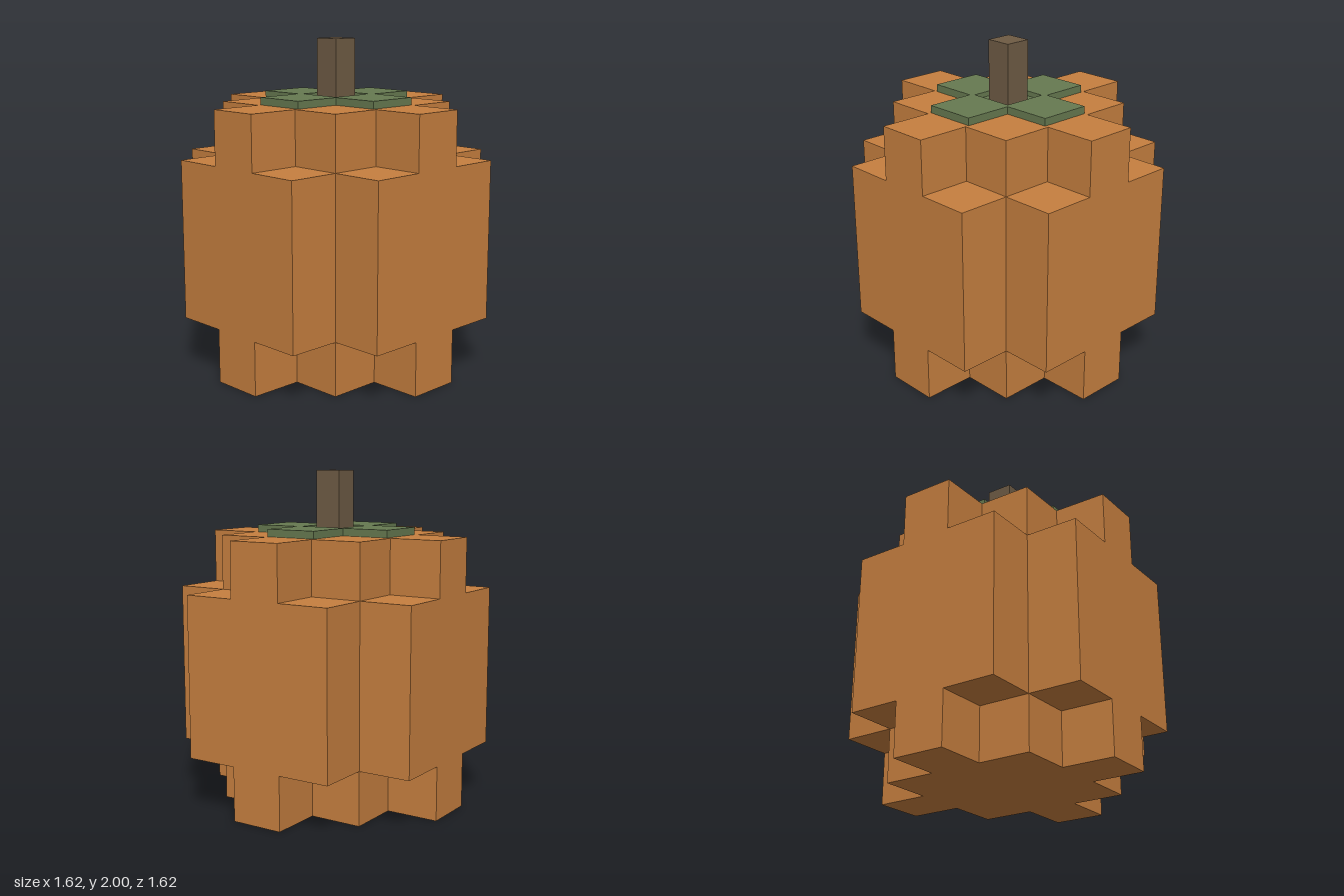
import * as THREE from 'three';

const material = (name, color) => {
  const m = new THREE.MeshStandardMaterial({ color });
  m.name = name;
  return m;
};

// Cross outline: arms reach r with half width w, around a square of half size s
function crossShape(r, w, s) {
  const quarter = s > w ? [[r, w], [s, w], [s, s], [w, s], [w, r]] : [[r, w], [w, w], [w, r]];
  const points = [];
  for (let q = 0; q < 4; q++) {
    for (let [x, y] of quarter) {
      for (let k = 0; k < q; k++) [x, y] = [-y, x];
      points.push(new THREE.Vector2(x, y));
    }
  }
  return new THREE.Shape(points);
}

// Upright prism of a plan outline between two heights
function prism(name, shape, y0, y1, mat) {
  const geo = new THREE.ExtrudeGeometry(shape, { depth: y1 - y0, bevelEnabled: false });
  geo.rotateX(-Math.PI / 2);
  geo.translate(0, y0, 0);
  const mesh = new THREE.Mesh(geo, mat);
  mesh.name = name;
  return mesh;
}

function box(name, half, y0, y1, mat) {
  const mesh = new THREE.Mesh(new THREE.BoxGeometry(half * 2, y1 - y0, half * 2), mat);
  mesh.position.y = (y0 + y1) / 2;
  mesh.name = name;
  return mesh;
}

export function createModel() {
  const orange = material('pumpkin orange', 0xc67f3f);
  const green = material('leaf green', 0x667950);
  const brown = material('stem brown', 0x6e5b44);
  const group = new THREE.Group();
  group.name = 'blockPumpkin';

  // Stepped body: narrow layers below and above a wide middle
  const R = 0.808, S = 0.485, W = 0.162;
  group.add(prism('bodyBottom', crossShape(R, W, S), 0, 0.325, orange));
  group.add(prism('bodyMiddle', crossShape(R, S, S), 0.325, 1.295, orange));
  group.add(prism('bodyTop', crossShape(R, W, S), 1.295, 1.62, orange));

  // Leaf cross with a shallow square recess around the stem
  const leaf = crossShape(0.462, W, W);
  const h = 0.14;
  leaf.holes.push(new THREE.Path([[-h, -h], [-h, h], [h, h], [h, -h]].map(p => new THREE.Vector2(...p))));
  group.add(prism('leaves', leaf, 1.62, 1.665, green));
  group.add(box('leafRecess', h, 1.62, 1.635, green));

  // Stem
  group.add(box('stem', 0.081, 1.635, 2, brown));
  return group;
}
